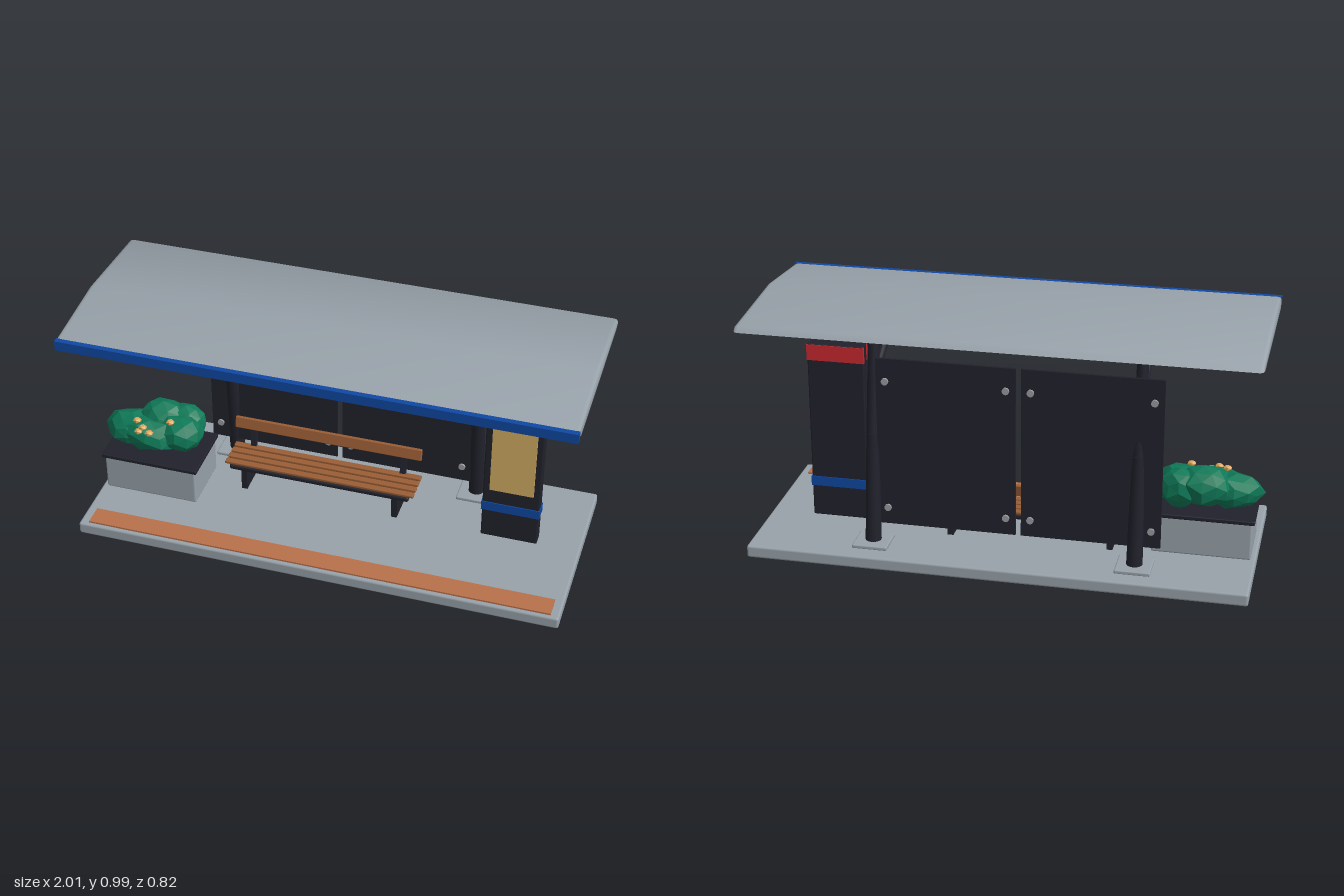
import * as THREE from 'three';
import { toCreasedNormals } from 'three/addons/utils/BufferGeometryUtils.js';
import { RoundedBoxGeometry } from 'three/addons/geometries/RoundedBoxGeometry.js';

const mat = (name, color, flatShading = false) => {
  const m = new THREE.MeshStandardMaterial({ color, flatShading });
  m.name = name;
  return m;
};

export function createModel() {
  const concrete = mat('concreteGrey', 0x98a2aa);
  const dark = mat('darkMetal', 0x21212c);
  const blue = mat('blue', 0x0f48a2);
  const red = mat('red', 0xc9282f);
  const wood = mat('wood', 0x9a5e35);
  const clay = mat('clayTile', 0xb8714b);
  const gold = mat('posterGold', 0xd3ad64);
  const leaf = mat('leafGreen', 0x0f7a58, true);
  const bloom = mat('blossom', 0xdfa85f, true);
  const steel = mat('steel', 0x9a9ca2);

  const root = new THREE.Group();
  root.name = 'busShelter';
  const group = (name) => {
    const g = new THREE.Group();
    g.name = name;
    root.add(g);
    return g;
  };
  const add = (parent, name, geo, material) => {
    const m = new THREE.Mesh(geo, material);
    m.name = name;
    parent.add(m);
    return m;
  };
  // box given by its extents; a radius rounds the edges
  const box = (parent, name, material, [x0, x1], [y0, y1], [z0, z1], r = 0) => {
    const s = [x1 - x0, y1 - y0, z1 - z0];
    const geo = r ? new RoundedBoxGeometry(...s, 2, r) : new THREE.BoxGeometry(...s);
    const m = add(parent, name, geo, material);
    m.position.set((x0 + x1) / 2, (y0 + y1) / 2, (z0 + z1) / 2);
    return m;
  };
  // tapered round bar between two points
  const bar = (parent, name, material, a, b, ra, rb = ra) => {
    const p = new THREE.Vector3(...a), q = new THREE.Vector3(...b);
    const d = q.clone().sub(p);
    const m = add(parent, name, new THREE.CylinderGeometry(rb, ra, d.length(), 16), material);
    m.position.copy(p).add(q).multiplyScalar(0.5);
    m.quaternion.setFromUnitVectors(new THREE.Vector3(0, 1, 0), d.normalize());
    return m;
  };

  // ground slab and paving strip
  box(root, 'groundSlab', concrete, [-0.99, 0.985], [0, 0.052], [-0.41, 0.385], 0.01);
  box(root, 'pavingStrip', clay, [-0.95, 0.95], [0.05, 0.059], [0.284, 0.37]);

  // roof: side profile (z, y) drawn out along x
  const roof = group('roof');
  const profile = [[0.36, 0.911], [0.39, 0.932], [0.388, 0.957], [0.05, 0.986],
    [-0.356, 0.955], [-0.374, 0.933], [-0.33, 0.916]];
  const roofGeo = new THREE.ExtrudeGeometry(
    new THREE.Shape(profile.map(([z, y]) => new THREE.Vector2(z, y))),
    { depth: 1.97, bevelEnabled: true, bevelThickness: 0.015, bevelSize: 0.008, bevelOffset: -0.008, bevelSegments: 2 });
  roofGeo.rotateY(-Math.PI / 2).translate(0.985, 0, 0);
  add(roof, 'roofShell', toCreasedNormals(roofGeo, 1.1), concrete);
  box(roof, 'fascia', blue, [-1, 1], [0.917, 0.957], [0.387, 0.41]);
  for (let i = 0; i < 15; i++) {
    const x = -0.91 + i * 0.13;
    const s = box(roof, 'roofSlat', wood, [x - 0.02, x + 0.02], [0.898, 0.914], [-0.27, 0.345]);
    s.rotation.x = 0.036;
  }
  box(roof, 'lightStrip', gold, [-0.88, 0.88], [0.897, 0.912], [0.188, 0.204]);

  // bent posts with braces and foot plates
  for (const x of [-0.537, 0.503]) {
    const post = group('post');
    box(post, 'footPlate', concrete, [x - 0.07, x + 0.07], [0.05, 0.066], [-0.342, -0.204], 0.005);
    const foot = [x, 0.06, -0.272], knee = [x, 0.505, -0.235], head = [x, 0.922, -0.178];
    bar(post, 'lowerPost', dark, foot, knee, 0.032, 0.026);
    bar(post, 'upperPost', dark, knee, head, 0.026, 0.022);
    bar(post, 'brace', dark, [x, 0.72, -0.2], [x, 0.908, 0.145], 0.016);
  }

  // back panels with bolts
  for (const x of [-0.632, -0.064]) {
    const panel = group('backPanel');
    const w = 0.546;
    box(panel, 'panelSheet', dark, [x, x + w], [0.13, 0.825], [-0.251, -0.24]);
    for (const bx of [x + 0.037, x + w - 0.037]) for (const y of [0.2, 0.733]) {
      bar(panel, 'bolt', steel, [bx, y, -0.26], [bx, y, -0.232], 0.014);
    }
  }

  // bench
  const bench = group('bench');
  box(bench, 'seatFrame', dark, [-0.48, 0.28], [0.148, 0.17], [-0.156, -0.01], 0.008);
  for (const x of [-0.42, 0.22]) {
    box(bench, 'benchLeg', dark, [x - 0.012, x + 0.012], [0.05, 0.16], [-0.15, -0.02]);
    const arm = box(bench, 'backSupport', dark, [x - 0.012, x + 0.012], [0.155, 0.29], [-0.168, -0.15]);
    arm.rotation.x = -0.18;
  }
  for (let i = 0; i < 4; i++) {
    const z = -0.028 - i * 0.038;
    box(bench, 'seatSlat', wood, [-0.5, 0.3], [0.17, 0.183], [z - 0.014, z + 0.014], 0.004);
  }
  const rest = box(bench, 'backrest', wood, [-0.5, 0.295], [0.256, 0.306], [-0.17, -0.154], 0.004);
  rest.rotation.x = -0.18;

  // information pillar
  const pillar = group('infoPillar');
  const px = [0.58, 0.81];
  box(pillar, 'pillarBody', dark, px, [0.05, 0.794], [-0.077, -0.023], 0.006);
  box(pillar, 'redFront', red, [0.579, 0.811], [0.725, 0.79], [-0.034, -0.02]);
  box(pillar, 'redBack', red, [0.579, 0.811], [0.725, 0.79], [-0.08, -0.066]);
  box(pillar, 'blueBand', blue, [0.577, 0.813], [0.182, 0.222], [-0.081, -0.019]);
  box(pillar, 'poster', gold, [0.608, 0.785], [0.29, 0.65], [-0.024, -0.015]);

  // planter with faceted shrub and blossoms
  const planter = group('planter');
  box(planter, 'planterBox', concrete, [-0.97, -0.58], [0.05, 0.208], [-0.125, 0.126], 0.008);
  box(planter, 'planterRim', dark, [-0.98, -0.57], [0.204, 0.221], [-0.135, 0.136], 0.004);
  const clumps = [
    [-0.89, 0.288, 0.0, 0.11, 0.072, 0.09],
    [-0.77, 0.32, -0.05, 0.11, 0.085, 0.085],
    [-0.68, 0.3, 0.0, 0.1, 0.08, 0.085],
    [-0.8, 0.29, 0.035, 0.13, 0.072, 0.068],
    [-0.68, 0.31, -0.065, 0.09, 0.085, 0.068],
  ];
  clumps.forEach(([x, y, z, sx, sy, sz], k) => {
    const geo = new THREE.IcosahedronGeometry(1, 1);
    const p = geo.attributes.position, v = new THREE.Vector3();
    for (let i = 0; i < p.count; i++) {
      v.fromBufferAttribute(p, i);
      v.multiplyScalar(0.97 + 0.1 * Math.sin(v.x * 5 + k * 2) * Math.cos(v.y * 4 + v.z * 6 + k));
      p.setXYZ(i, v.x * sx, v.y * sy, v.z * sz);
    }
    geo.computeVertexNormals();
    add(planter, 'shrubClump', geo, leaf).position.set(x, y, z);
  });
  const blossoms = [[-0.85, 0.358, 0.045], [-0.815, 0.35, 0.075], [-0.785, 0.335, 0.085],
    [-0.71, 0.37, 0.035], [-0.83, 0.335, 0.085]];
  for (const [x, y, z] of blossoms) {
    const b = add(planter, 'blossom', new THREE.IcosahedronGeometry(0.017, 0), bloom);
    b.position.set(x, y, z);
    b.scale.set(1.1, 0.75, 1);
  }
  return root;
}
